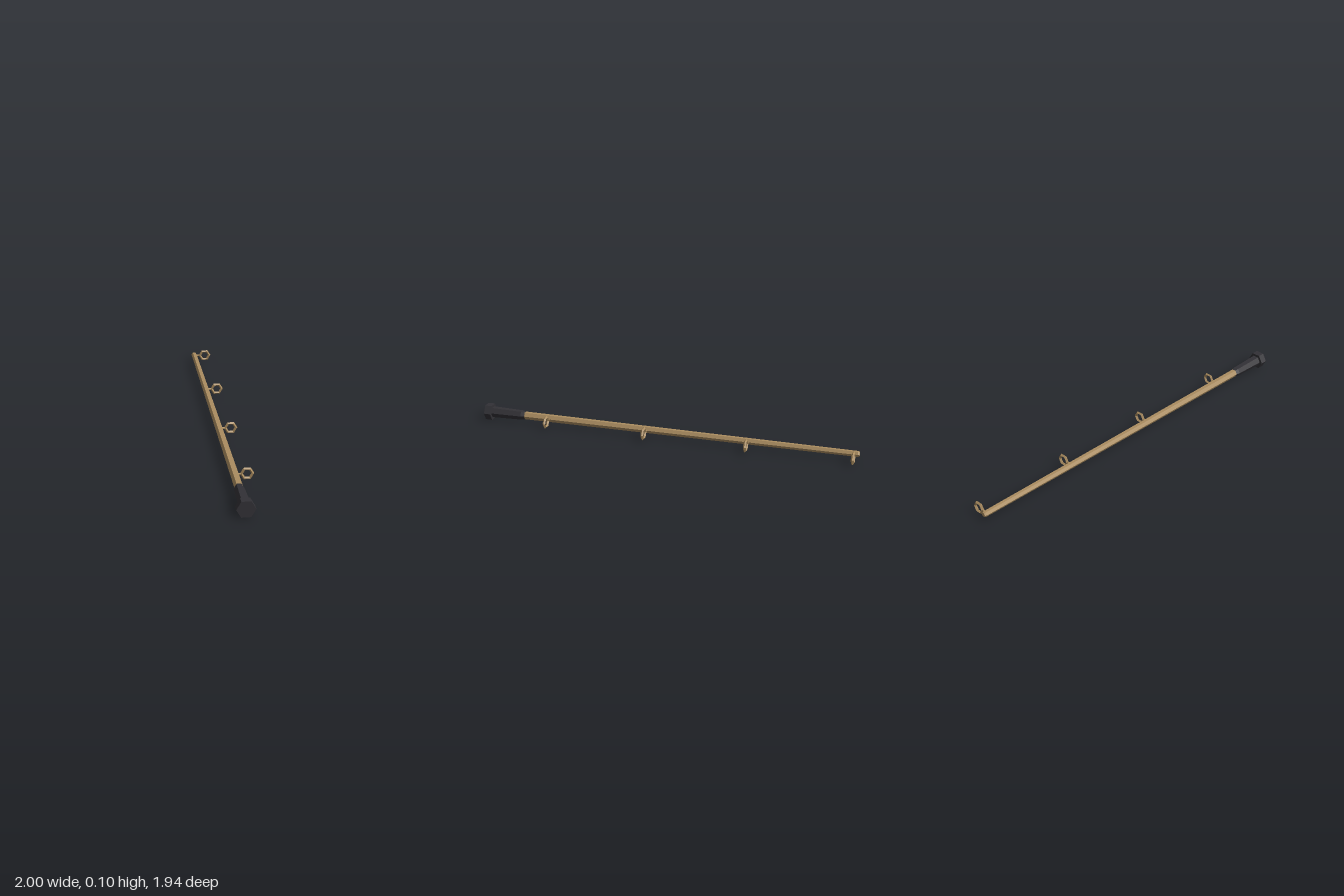
import * as THREE from 'three';

const SIDES = 6;
const tan = new THREE.MeshStandardMaterial({ color: 0xab8d60, flatShading: true });
const dark = new THREE.MeshStandardMaterial({ color: 0x323136, flatShading: true });

// Six-sided turned part running along +x; profile is a list of [position, radius]
function turned(name, profile, material) {
  const points = profile.map(([s, r]) => new THREE.Vector2(r, s));
  const geometry = new THREE.LatheGeometry(points, SIDES).rotateZ(-Math.PI / 2);
  const mesh = new THREE.Mesh(geometry, material);
  mesh.name = name;
  return mesh;
}

// Hexagonal line guide standing out sideways on a short stem
function lineGuide(s) {
  const guide = new THREE.Group();
  guide.name = 'lineGuide';
  const ring = new THREE.Mesh(
    new THREE.TorusGeometry(0.036, 0.01, 4, SIDES).rotateY(Math.PI / 2), tan);
  ring.name = 'guideRing';
  ring.position.z = 0.08;
  const stem = new THREE.Mesh(
    new THREE.CylinderGeometry(0.007, 0.007, 0.032, SIDES).rotateX(Math.PI / 2), tan);
  stem.name = 'guideStem';
  stem.position.z = 0.028;
  guide.add(ring, stem);
  guide.position.set(s, -0.002, 0);
  return guide;
}

export function createModel() {
  const rod = new THREE.Group();
  rod.name = 'fishingRod';

  // Butt cap, tapered grip and slender pole
  rod.add(turned('buttCap', [[0, 0], [0, 0.06], [0.048, 0.06], [0.048, 0]], dark));
  rod.add(turned('grip', [[0.04, 0], [0.04, 0.04], [0.27, 0.034], [0.305, 0.026], [0.305, 0]], dark));
  rod.add(turned('pole', [[0.29, 0], [0.29, 0.028], [2.66, 0.02], [2.67, 0.015], [2.67, 0]], tan));

  // Four evenly spaced line guides
  for (let i = 0; i < 4; i++) rod.add(lineGuide(0.485 + i * 0.718));

  // Lay the rod on the diagonal, dipping slightly to the tip
  rod.rotation.set(0, Math.PI / 4, -0.0026);
  rod.position.set(-0.96, 0.053, 0.93);

  const model = new THREE.Group();
  model.name = 'model';
  model.add(rod);
  return model;
}
